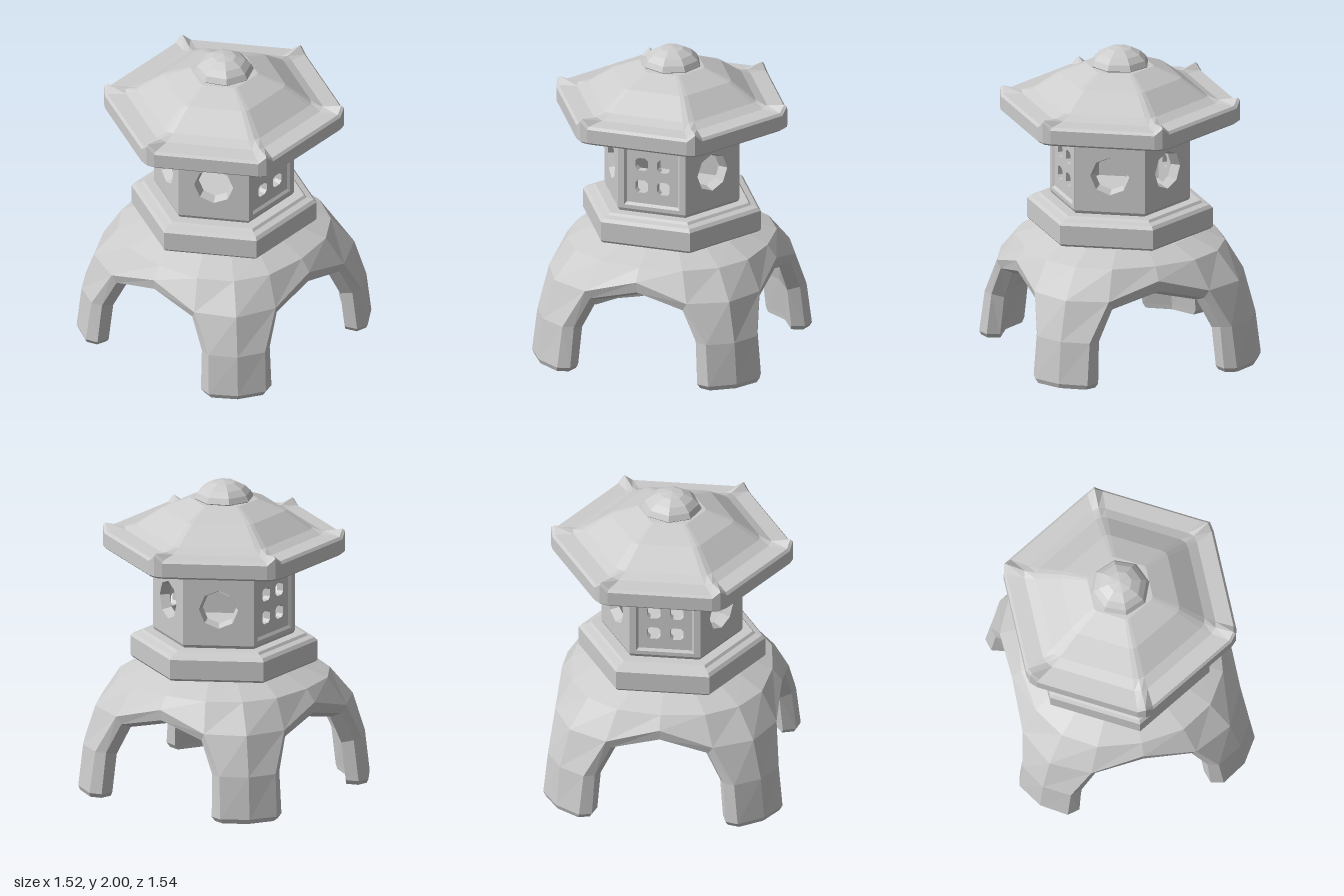
import * as THREE from 'three';

const stone = new THREE.MeshStandardMaterial({ color: 0xcccccc, flatShading: true });
const stoneBoth = new THREE.MeshStandardMaterial({ color: 0xcccccc, flatShading: true, side: THREE.DoubleSide });

function mesh(name, geometry, material = stone) {
  const m = new THREE.Mesh(geometry, material);
  m.name = name;
  return m;
}

// Flat geometry from a list of quads (or triangles), each a list of [x, y, z]
function fromFaces(faces) {
  const pos = [];
  for (const f of faces)
    for (let i = 2; i < f.length; i++) pos.push(...f[0], ...f[i - 1], ...f[i]);
  const g = new THREE.BufferGeometry();
  g.setAttribute('position', new THREE.Float32BufferAttribute(pos, 3));
  g.computeVertexNormals();
  return g;
}

// Turned solid; the first corner faces +z
function turned(name, sides, profile) {
  return mesh(name, new THREE.LatheGeometry(profile.map(([r, y]) => new THREE.Vector2(r, y)), sides));
}

// Four-legged arched base: one eighth is built, then mirrored and turned
function makeLegs() {
  // each arch edge runs: apex, shoulder, knee, foot
  const outerEdge = [[0, .65, .70], [.34, .55, .705], [.48, .30, .735], [.505, .03, .762]];
  const midEdge = [[0, .58, .69], [.31, .50, .69], [.41, .30, .715], [.425, .03, .742]];
  const innerEdge = [[0, .545, .62], [.285, .47, .62], [.38, .28, .64], [.40, .03, .66]];
  const outerDiag = [[.585, .55, .585], [.64, .30, .64], [.662, .03, .662]];
  const innerDiag = [[.50, .47, .50], [.535, .28, .535], [.56, .03, .56]];
  // rounded dome rows: side centre, shoulder, diagonal
  const outerRows = [
    [[0, .73, .64], [.28, .73, .605], [.48, .73, .48]],
    [[0, .80, .48], [.20, .80, .455], [.355, .80, .355]],
    [[0, .82, .33], [.135, .82, .315], [.24, .82, .24]]];
  const innerRows = [
    [[0, .63, .54], [.24, .63, .51], [.405, .63, .405]],
    [[0, .70, .38], [.16, .70, .355], [.275, .70, .275]]];

  const shell = (e, d, rows) => {
    const r = rows[0], top = rows[rows.length - 1];
    const faces = [
      [e[0], e[1], r[1], r[0]], [e[1], d[0], r[2], r[1]],
      [e[2], d[1], d[0], e[1]], [e[3], d[2], d[1], e[2]]];
    for (let i = 0; i + 1 < rows.length; i++)
      for (let j = 0; j < 2; j++)
        faces.push([rows[i][j], rows[i][j + 1], rows[i + 1][j + 1], rows[i + 1][j]]);
    faces.push([[0, top[0][1], 0], ...top]);
    return faces;
  };
  const eighth = shell(outerEdge, outerDiag, outerRows);
  for (const f of shell(innerEdge, innerDiag, innerRows)) eighth.push(f.reverse());
  // bevelled arch rim
  for (let i = 0; i < 3; i++) {
    eighth.push([midEdge[i], midEdge[i + 1], outerEdge[i + 1], outerEdge[i]]);
    eighth.push([innerEdge[i], innerEdge[i + 1], midEdge[i + 1], midEdge[i]]);
  }
  // foot with a small bevel
  const ring = [outerDiag[2], outerEdge[3], midEdge[3], innerEdge[3], innerDiag[2]];
  const c = [.58, 0, .58];
  const sole = ring.map(([x, , z]) => [c[0] + (x - c[0]) * .9, 0, c[2] + (z - c[2]) * .9]);
  for (let i = 0; i < 4; i++) {
    eighth.push([sole[i + 1], sole[i], ring[i], ring[i + 1]]);
    eighth.push([c, sole[i], sole[i + 1]]);
  }

  const faces = [];
  for (let k = 0; k < 4; k++) {
    const s = [0, 1, 0, -1][k], co = [1, 0, -1, 0][k];
    for (const m of [1, -1])
      for (const f of eighth) {
        const g = f.map(([x, y, z]) => [m * x * co + z * s, y, z * co - m * x * s]);
        faces.push(m > 0 ? g : g.reverse());
      }
  }
  return mesh('legs', fromFaces(faces));
}

// Six-sided roof: rings of [radius, y, corner lift], with narrow raised corners
function makeRoof() {
  const rings = [[0, 1.49, 0], [.45, 1.49, 0], [.765, 1.535, 0], [.785, 1.55, 0], [.785, 1.64, .045],
    [.768, 1.657, .04], [.645, 1.665, .012], [.57, 1.695, 0], [.40, 1.81, 0],
    [.22, 1.88, 0], [0, 1.89, 0]];
  const corner = (r, k) => [r * Math.sin(k * Math.PI / 3), r * Math.cos(k * Math.PI / 3)];
  const loops = rings.map(([r, y, lift]) => {
    const loop = [];
    for (let k = 0; k < 6; k++) {
      const p = corner(r, k);
      for (const side of [-1, 0, 1]) {
        const q = corner(r, k + side), t = .075;
        loop.push(side ? [p[0] + (q[0] - p[0]) * t, y, p[1] + (q[1] - p[1]) * t]
          : [p[0] * .98, y + lift, p[1] * .98]);
      }
    }
    return loop;
  });
  const faces = [];
  for (let i = 0; i + 1 < loops.length; i++)
    for (let j = 0; j < 18; j++) {
      const n = (j + 1) % 18;
      faces.push([loops[i][j], loops[i][n], loops[i + 1][n], loops[i + 1][j]]);
    }
  return mesh('roof', fromFaces(faces));
}

// Rectangle with cut corners, for walls and window panes
function rect(Type, x, y, w, h, cut = 0) {
  const p = [];
  for (const [sx, sy] of [[1, -1], [1, 1], [-1, 1], [-1, -1]]) {
    const a = [x + sx * (w / 2 - cut), y + sy * h / 2], b = [x + sx * w / 2, y + sy * (h / 2 - cut)];
    if (!cut) p.push(a);
    else p.push(...(sx * sy < 0 ? [a, b] : [b, a]));
  }
  return new Type(p.map(([px, py]) => new THREE.Vector2(px, py)));
}

function plate(name, shape, front, depth) {
  const g = new THREE.ExtrudeGeometry(shape, { depth, bevelEnabled: false });
  return mesh(name, g.translate(0, 0, front - depth));
}

// One wall of the lantern chamber, facing +z
function makeWall(side) {
  const wall = new THREE.Group();
  wall.name = side ? 'paneWall' : 'octagonWall';
  const shape = rect(THREE.Shape, 0, 1.25, .45, .46);
  if (side) {
    // shallow recess with sloped edges and four small panes
    shape.holes.push(rect(THREE.Path, 0, 1.25, .37, .41));
    const inset = rect(THREE.Shape, 0, 1.25, .38, .42);
    for (const x of [-.073, .073])
      for (const y of [1.175, 1.325])
        inset.holes.push(rect(THREE.Path, x, y, .084, .084, .018));
    const slope = new THREE.CylinderGeometry(Math.SQRT1_2, Math.SQRT1_2 * .91, .014, 4, 1, true);
    slope.rotateY(Math.PI / 4).rotateX(Math.PI / 2).scale(.37, .41, 1).translate(0, 1.25, .383);
    wall.add(plate('wallFrame', shape, .39, .06), plate('panes', inset, .377, .047),
      mesh('recessEdge', slope, stoneBoth));
  } else {
    const hole = [];
    for (let i = 0; i < 8; i++) {
      const a = i * Math.PI / 4;
      hole.push(new THREE.Vector2(.125 * Math.sin(a), 1.257 + .125 * Math.cos(a)));
    }
    shape.holes.push(new THREE.Path(hole));
    const bezel = new THREE.CylinderGeometry(.125, .106, .06, 8, 1, true).rotateX(Math.PI / 2);
    wall.add(plate('wallFrame', shape, .39, .06),
      mesh('windowBezel', bezel.translate(0, 1.257, .36), stoneBoth));
  }
  return wall;
}

export function createModel() {
  const model = new THREE.Group();
  model.name = 'stoneLantern';

  model.add(makeLegs());
  model.add(turned('pedestal', 6, [[0, .815], [.58, .815], [.595, .83], [.595, .955], [.575, .975],
    [.53, .985], [.515, 1.0], [0, 1.0]]));

  // lantern chamber: floor, six walls, ceiling
  const chamber = new THREE.Group();
  chamber.name = 'chamber';
  chamber.add(turned('floor', 6, [[0, 1.0], [.44, 1.0], [.45, 1.02], [0, 1.02]]));
  for (let k = 0; k < 6; k++) {
    const wall = makeWall(k % 3 === 1);
    wall.rotation.y = (k + .5) * Math.PI / 3;
    chamber.add(wall);
  }
  chamber.add(turned('ceiling', 6, [[0, 1.48], [.45, 1.48], [.44, 1.492], [0, 1.492]]));
  model.add(chamber);

  model.add(makeRoof());
  model.add(turned('finial', 8, [[0, 1.865], [.18, 1.875], [.19, 1.887], [.172, 1.922], [.135, 1.957],
    [.075, 1.988], [0, 2.0]]));
  return model;
}
